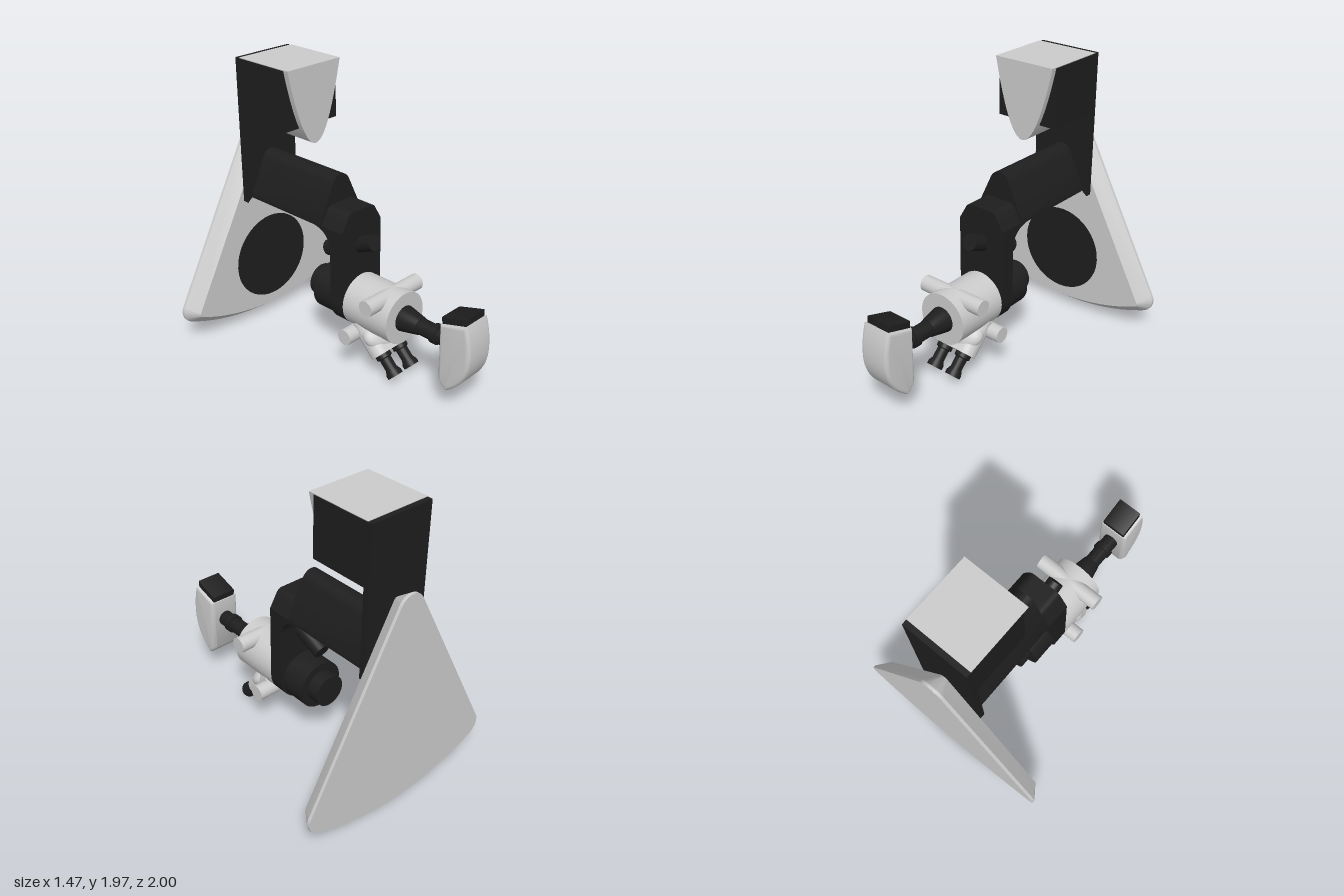
import * as THREE from 'three';
import { toCreasedNormals } from 'three/addons/utils/BufferGeometryUtils.js';

const grey = new THREE.MeshStandardMaterial({ color: 0xcccccc });
const black = new THREE.MeshStandardMaterial({ color: 0x1e1e1e });
const V = (x, y, z) => new THREE.Vector3(x, y, z);

function add(parent, name, geometry, material) {
  const mesh = new THREE.Mesh(geometry, material);
  mesh.name = name;
  parent.add(mesh);
}

// Front outline swept from z0 up to z1
function extrudeZ(shape, z0, z1) {
  const g = new THREE.ExtrudeGeometry(shape, { depth: z1 - z0, bevelEnabled: false, curveSegments: 24 });
  return toCreasedNormals(g.translate(0, 0, z0), 0.5);
}

// Side outline given as (z, y), swept across x and centred, with rounded rims
function extrudeX(shape, width, bevel = 0) {
  const g = new THREE.ExtrudeGeometry(shape, {
    depth: width - 2 * bevel, curveSegments: 20, bevelEnabled: bevel > 0,
    bevelSize: bevel, bevelThickness: bevel, bevelOffset: -bevel, bevelSegments: 5,
  });
  g.translate(0, 0, -(width - 2 * bevel) / 2).rotateY(-Math.PI / 2);
  return toCreasedNormals(g, 0.6);
}

// Cylinder from point a to point b
function rod(a, b, radius) {
  const d = b.clone().sub(a);
  const g = new THREE.CylinderGeometry(radius, radius, d.length(), 40);
  g.applyQuaternion(new THREE.Quaternion().setFromUnitVectors(V(0, 1, 0), d.normalize()));
  return g.translate(...a.clone().add(b).multiplyScalar(0.5).toArray());
}

// Turned part along +z from [radius, z] pairs
function turned(profile) {
  const g = new THREE.LatheGeometry(profile.map(([r, z]) => new THREE.Vector2(r, z)), 40);
  return toCreasedNormals(g.rotateX(Math.PI / 2), 0.6);
}

const polygon = (pts) => new THREE.Shape(pts.map(([x, y]) => new THREE.Vector2(x, y)));

// Rounded fan outline, drawn inward by inset
function fanOutline(inset) {
  const pts = [], r = 0.097 - inset, side = 28.4, low = 23.7;
  const arc = (cx, cy, rad, from, to, n) => {
    for (let i = 0; i < n; i++) {
      const a = THREE.MathUtils.degToRad(from + ((to - from) * i) / (n - 1));
      pts.push([cx + rad * Math.cos(a), cy + rad * Math.sin(a)]);
    }
  };
  arc(0.638, 0.231, r, low - 90, side, 12);
  arc(0, 1.413, r, side, 180 - side, 14);
  arc(-0.638, 0.231, r, 180 - side, 270 - low, 12);
  arc(0, 1.683, 1.683 - inset, 270.5 - low, 269.5 + low, 24);
  return pts;
}

// Plate lofted through three outlines and capped on both faces
function fanPlate() {
  const rings = [[0, -1], [0, -0.98], [0.07, -0.885]].map(([inset, z]) =>
    fanOutline(inset).map(([x, y]) => [x, y, z]));
  const n = rings[0].length, pos = [];
  for (let i = 0; i < n; i++) {
    const j = (i + 1) % n;
    for (let k = 0; k < 2; k++) {
      const a = rings[k][i], b = rings[k][j], c = rings[k + 1][j], d = rings[k + 1][i];
      pos.push(...a, ...b, ...c, ...a, ...c, ...d);
    }
    pos.push(...rings[2][i], ...rings[2][j], 0, 0.5, -0.885);
    pos.push(...rings[0][j], ...rings[0][i], 0, 0.5, -1);
  }
  const g = new THREE.BufferGeometry();
  g.setAttribute('position', new THREE.Float32BufferAttribute(pos, 3));
  return toCreasedNormals(g, 0.35);
}

export function createModel() {
  const model = new THREE.Group();
  model.name = 'mountedScope';

  // Fan-shaped back plate and its dark disc
  add(model, 'backPlate', fanPlate(), grey);
  add(model, 'backDisc', rod(V(0, 0.455, -0.9), V(0, 0.455, -0.881), 0.315), black);

  // Upright bracket, upper housing and curved hood
  add(model, 'bracket', extrudeZ(polygon([[-0.225, 0.955], [-0.18, 0.99], [0.18, 0.99],
    [0.225, 0.955], [0.225, 1.968], [-0.225, 1.968]]), -0.885, -0.84), black);
  add(model, 'upperHousing', new THREE.BoxGeometry(0.45, 0.4, 0.42).translate(0, 1.767, -0.64), black);
  const hood = new THREE.Shape();
  hood.moveTo(-0.225, 1.972);
  hood.quadraticCurveTo(0, 0.93, 0.225, 1.972);
  add(model, 'hood', extrudeZ(hood, -0.85, -0.39), grey);

  // Bell-section arm
  const arm = new THREE.Shape();
  arm.moveTo(-0.18, 0.98);
  arm.lineTo(0.18, 0.98);
  arm.lineTo(0.18, 1.02);
  arm.lineTo(0.08, 1.235);
  arm.bezierCurveTo(0.045, 1.322, -0.045, 1.322, -0.08, 1.235);
  arm.lineTo(-0.18, 1.02);
  add(model, 'arm', extrudeZ(arm, -0.845, -0.165), black);

  // Hanging post with round foot, shoulder and fillet
  const topEdge = (s) => {
    s.lineTo(0.18, 0.99);
    s.lineTo(0.125, 1.085);
    s.quadraticCurveTo(0.11, 1.11, 0.08, 1.11);
    s.lineTo(-0.08, 1.11);
    s.quadraticCurveTo(-0.11, 1.11, -0.125, 1.085);
    s.lineTo(-0.18, 0.99);
  };
  const post = new THREE.Shape();
  post.absarc(0, 0.46, 0.18, Math.PI, 2 * Math.PI, false);
  topEdge(post);
  add(model, 'post', extrudeZ(post, -0.09, 0.02), black);
  const shoulder = new THREE.Shape();
  shoulder.moveTo(-0.18, 0.98);
  shoulder.lineTo(0.18, 0.98);
  topEdge(shoulder);
  add(model, 'shoulder', extrudeZ(shoulder, -0.17, -0.08), black);
  const fillet = new THREE.Shape();
  fillet.moveTo(-0.085, 0.85);
  fillet.lineTo(-0.085, 0.985);
  fillet.lineTo(-0.24, 0.985);
  fillet.lineTo(-0.24, 0.98);
  fillet.quadraticCurveTo(-0.105, 0.965, -0.09, 0.85);
  add(model, 'elbowFillet', extrudeX(fillet, 0.36), black);

  // Slanted locking handle and rear pivot
  add(model, 'lockHandle', rod(V(0, 0.73, -0.28), V(0, 0.91, 0.13), 0.055), black);
  add(model, 'rearPivot', turned([[0, -0.36], [0.11, -0.36], [0.11, -0.27], [0.165, -0.27],
    [0.165, -0.08], [0, -0.08]]).translate(0, 0.458, 0), black);

  // Optical body with paired side knobs
  add(model, 'body', rod(V(0, 0.46, 0.02), V(0, 0.46, 0.4), 0.18), grey);
  for (const s of [-1, 1]) {
    add(model, 'upperKnob', rod(V(0, 0.585, 0.285), V(s * 0.247, 0.585, 0.285), 0.055), grey);
    add(model, 'lowerKnob', rod(V(0, 0.29, 0.097), V(s * 0.247, 0.29, 0.097), 0.055), grey);
  }

  // Angled twin eyepieces on a rounded housing
  const binocular = new THREE.Group();
  binocular.name = 'binocular';
  binocular.position.set(0, 0.335, 0.125);
  binocular.rotation.x = Math.PI / 4;
  model.add(binocular);
  const oval = new THREE.Shape();
  oval.absarc(0.09, 0, 0.07, -Math.PI / 2, Math.PI / 2, false);
  oval.absarc(-0.09, 0, 0.07, Math.PI / 2, Math.PI * 1.5, false);
  add(binocular, 'eyepieceHousing', extrudeZ(oval, -0.03, 0.23), grey);
  add(binocular, 'housingShoulder', new THREE.SphereGeometry(1, 36, 24)
    .scale(0.172, 0.075, 0.115).translate(0, 0.03, 0.1), grey);
  for (const s of [-1, 1]) {
    const cup = turned([[0, 0.22], [0.054, 0.22], [0.054, 0.258], [0.04, 0.264], [0.04, 0.34],
      [0.054, 0.37], [0.054, 0.395], [0.036, 0.395], [0.033, 0.386], [0, 0.386]]);
    add(binocular, 'eyepiece', cup.translate(s * 0.08, 0, 0), black);
    add(binocular, 'eyeLens', rod(V(s * 0.08, 0, 0.38), V(s * 0.08, 0, 0.389), 0.033), grey);
  }

  // Flared neck and collared handle shaft
  add(model, 'neck', turned([[0, 0.39], [0.088, 0.39], [0.088, 0.405], [0.06, 0.54], [0, 0.54]])
    .translate(0, 0.46, 0), black);
  add(model, 'handleShaft', turned([[0, 0.5], [0.055, 0.5], [0.055, 0.65], [0.066, 0.65], [0.066, 0.69],
    [0.055, 0.69], [0.055, 0.79], [0, 0.79]]).translate(0, 0.46, 0), black);

  // Curved front handset with dark cap
  const handset = new THREE.Shape();
  handset.moveTo(0.767, 0.235);
  handset.quadraticCurveTo(0.79, 0.195, 0.833, 0.163);
  handset.bezierCurveTo(0.95, 0.25, 1.0, 0.34, 1.0, 0.47);
  handset.quadraticCurveTo(1.0, 0.58, 0.965, 0.68);
  handset.lineTo(0.767, 0.62);
  add(model, 'handset', extrudeX(handset, 0.22, 0.025), grey);
  add(model, 'handsetCap', extrudeX(polygon([[0.775, 0.6], [0.955, 0.655], [0.952, 0.722],
    [0.768, 0.665]]), 0.178, 0.006), black);

  return model;
}
